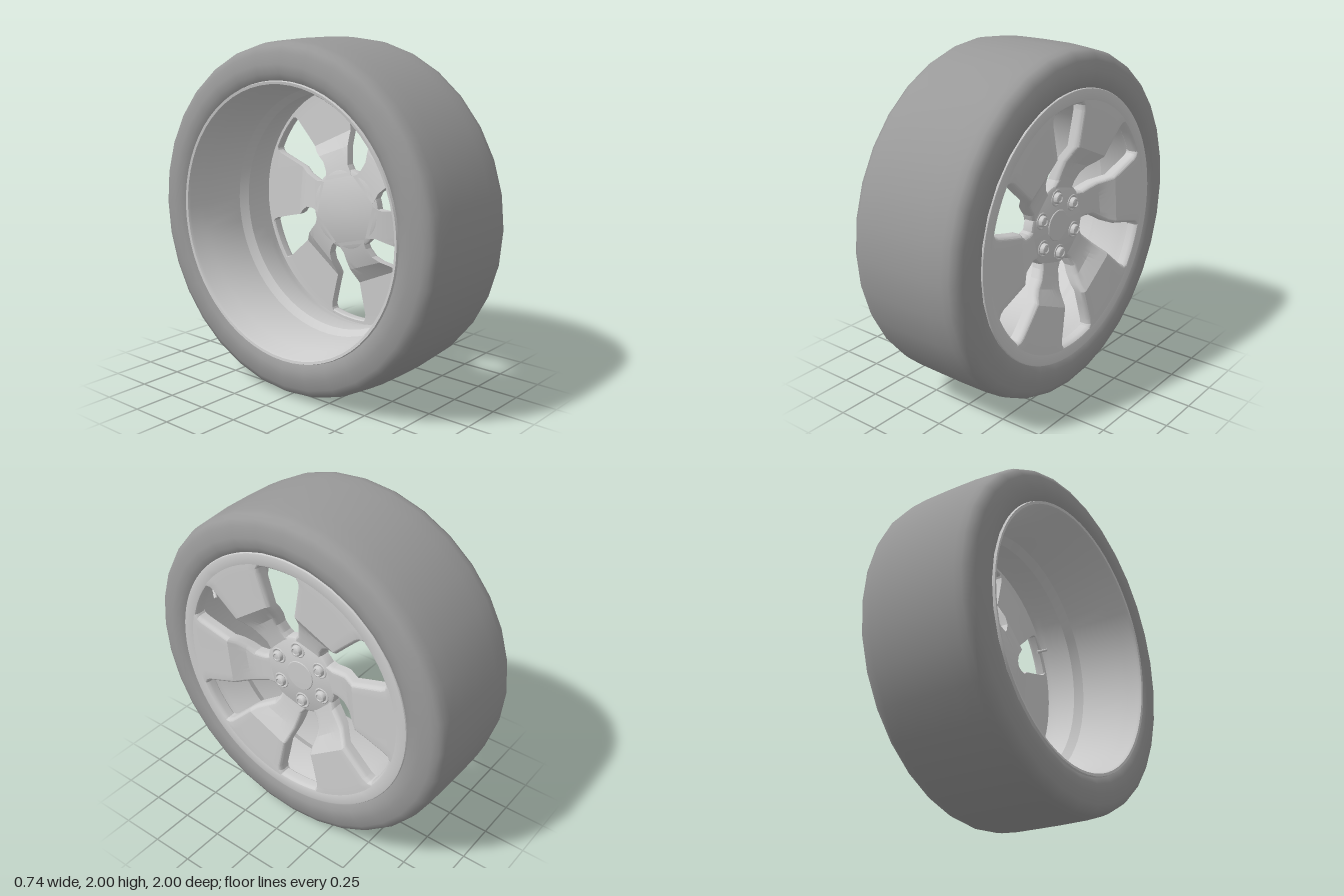
import * as THREE from 'three';
import { toCreasedNormals } from 'three/addons/utils/BufferGeometryUtils.js';

const grey = new THREE.MeshStandardMaterial({ color: 0xcccccc });
const rubber = new THREE.MeshStandardMaterial({ color: 0x999999 });
const RAD = Math.PI / 180;

// Revolve [radius, z] points around the z axis; counter-clockwise profiles face outwards
function lathe(points, segments, crease = 0.5) {
  let geo = new THREE.LatheGeometry(points.map(([r, z]) => new THREE.Vector2(r, z)), segments);
  geo.rotateX(Math.PI / 2);
  if (crease) geo = toCreasedNormals(geo, crease);
  return geo;
}

function add(parent, name, geometry, material = grey) {
  const mesh = new THREE.Mesh(geometry, material);
  mesh.name = name;
  parent.add(mesh);
  return mesh;
}

// One spoke: cross-sections lofted outwards from the hub.
// Each row: radius, window's trailing edge angle, window's leading edge angle, face height
const spokeRows = [
  [0.215, 103, 107, 0.246],
  [0.235, 99, 112, 0.251],
  [0.265, 92.8, 114.4, 0.258],
  [0.32, 90, 114.6, 0.272],
  [0.37, 88, 111, 0.288],
  [0.42, 86.2, 107.6, 0.321],
  [0.46, 85.2, 106.6, 0.348],
  [0.54, 84.3, 106.5, 0.351],
  [0.66, 83.3, 106.2, 0.356],
  [0.69, 83.8, 105.6, 0.357],
  [0.705, 85, 104.4, 0.357],
  [0.75, 87, 102, 0.357],
];

function spokeGeometry() {
  const positions = [], index = [];
  const steps = 6, spans = 8, n = 2 * (steps + 2) + 2 * (spans - 1);
  for (const [r, lo, hi, z] of spokeRows) {
    const start = (hi - 60) * RAD, end = lo * RAD;
    const width = 0.024 / r, drop = 0.032, back = z - 0.07;
    // Half section from the back edge over the rounded shoulder: [angle inset, height]
    const side = [[0, back]];
    for (let s = 0; s <= steps; s++) {
      const t = (s / steps) * Math.PI / 2;
      side.push([width * (1 - Math.cos(t)), z - drop * (1 - Math.sin(t))]);
    }
    // Points across the spoke run straight near the hub and curve round with the rim
    const curve = THREE.MathUtils.smoothstep(r, 0.46, 0.66);
    const across = (from, to, h) => Array.from({ length: spans - 1 }, (_, i) => {
      const a = from + (to - from) * (i + 1) / spans, mid = (from + to) / 2;
      const straight = Math.cos((to - from) / 2) / Math.cos(a - mid);
      return [a, h, straight + (1 - straight) * curve];
    });
    const section = [
      ...side.map(([a, h]) => [start + a, h, 1]),
      ...across(start + width, end - width, z),
      ...side.map(([a, h]) => [end - a, h, 1]).reverse(),
      ...across(end, start, back),
    ];
    for (const [a, h, f] of section) positions.push(r * f * Math.cos(a), r * f * Math.sin(a), h);
  }
  for (let i = 0; i < spokeRows.length - 1; i++) {
    for (let j = 0; j < n; j++) {
      const k = (j + 1) % n;
      const a = i * n + j, b = (i + 1) * n + j, c = (i + 1) * n + k, d = i * n + k;
      index.push(a, b, c, a, c, d);
    }
  }
  const geo = new THREE.BufferGeometry();
  geo.setAttribute('position', new THREE.Float32BufferAttribute(positions, 3));
  geo.setIndex(index);
  return toCreasedNormals(geo, 0.28);
}

export function createModel() {
  const model = new THREE.Group();
  model.name = 'wheel';

  // The wheel is built facing +z, then turned to face +x
  const wheel = new THREE.Group();
  wheel.name = 'wheelAssembly';
  wheel.rotation.y = Math.PI / 2;
  wheel.position.y = 1;
  model.add(wheel);

  // Tyre: rounded shoulders, symmetrical sidewalls
  const half = [
    [0.765, 0.335], [0.785, 0.35], [0.82, 0.369], [0.87, 0.371], [0.93, 0.357],
    [0.965, 0.34], [0.982, 0.31], [0.99, 0.27], [0.998, 0.17],
  ];
  const tyreProfile = [
    ...half.map(([r, z]) => [r, -z]), [1, 0], ...half.slice().reverse(),
  ];
  add(wheel, 'tyre', lathe(tyreProfile, 32, 0), rubber);

  // Barrel: hollow, open to the rear, with a shallow well and a thin rear flange
  add(wheel, 'barrel', lathe([
    [0.725, 0.3], [0.715, 0.25], [0.698, 0.2], [0.695, 0.08], [0.725, 0.03], [0.735, -0.24],
    [0.75, -0.27], [0.755, -0.345], [0.763, -0.36], [0.778, -0.363], [0.782, -0.35],
    [0.77, -0.32], [0.765, -0.28], [0.765, 0.3], [0.725, 0.3],
  ], 64));

  // Front ring: rounded window ends and a flat face running out to the tyre
  add(wheel, 'frontRing', lathe([
    [0.705, 0.288], [0.782, 0.288], [0.782, 0.353], [0.779, 0.358], [0.772, 0.36],
    [0.72, 0.358], [0.711, 0.355], [0.703, 0.346], [0.699, 0.33], [0.699, 0.295],
    [0.705, 0.288],
  ], 96));

  // Hub: recessed centre of the wheel
  add(wheel, 'hub', lathe([
    [0, 0.18], [0.225, 0.18], [0.24, 0.188], [0.24, 0.228], [0.235, 0.242], [0.222, 0.249], [0, 0.249],
  ], 48));
  add(wheel, 'hubCap', lathe([
    [0.09, 0.24], [0.09, 0.251], [0.087, 0.254], [0, 0.255],
  ], 40));

  // Six spokes, with a lug nut in line with each window
  const spoke = spokeGeometry();
  const nut = lathe([
    [0.032, 0.24], [0.032, 0.262], [0.028, 0.272], [0.021, 0.275], [0.017, 0.27], [0, 0.272],
  ], 20);
  const seat = lathe([
    [0.049, 0.245], [0.048, 0.25], [0.045, 0.253], [0.041, 0.253], [0.035, 0.2495], [0.03, 0.2495],
  ], 24);
  for (let i = 0; i < 6; i++) {
    add(wheel, 'spoke', spoke).rotation.z = i * 60 * RAD;
    const a = (95 + i * 60) * RAD;
    for (const [name, geo] of [['lugNut', nut], ['lugSeat', seat]]) {
      add(wheel, name, geo).position.set(0.167 * Math.cos(a), 0.167 * Math.sin(a), 0);
    }
  }

  // Valve stem, leaning inwards from the barrel with a wider cap
  const a = 153 * RAD;
  const at = (r, z) => new THREE.Vector3(r * Math.cos(a), r * Math.sin(a), z);
  const root = at(0.72, 0.24), tip = at(0.655, 0.28);
  const dir = tip.clone().sub(root);
  const valve = new THREE.Group();
  valve.name = 'valve';
  valve.position.copy(root);
  valve.quaternion.setFromUnitVectors(new THREE.Vector3(0, 1, 0), dir.clone().normalize());
  const length = dir.length();
  add(valve, 'valveStem', new THREE.CylinderGeometry(0.007, 0.009, length, 12)).position.y = length / 2;
  add(valve, 'valveCap', new THREE.CylinderGeometry(0.01, 0.011, 0.028, 12)).position.y = length - 0.01;
  wheel.add(valve);

  return model;
}
